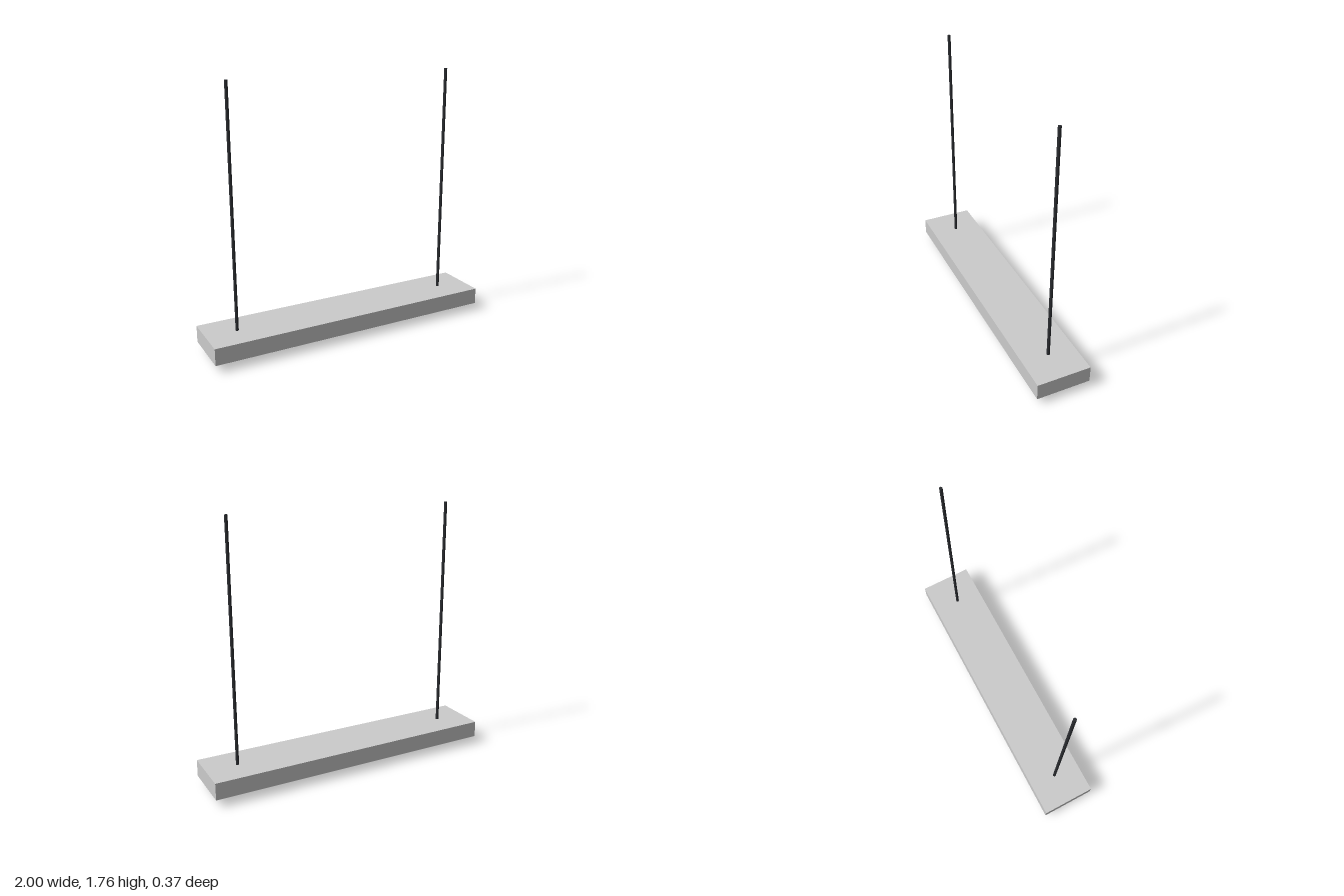
import * as THREE from 'three';

export function createModel() {
  const group = new THREE.Group();
  const grey = new THREE.MeshStandardMaterial({ color: 0xcccccc });
  const dark = new THREE.MeshStandardMaterial({ color: 0x2b2d31 });

  const add = (name, geometry, material, x, y, z) => {
    const mesh = new THREE.Mesh(geometry, material);
    mesh.name = name;
    mesh.position.set(x, y, z);
    group.add(mesh);
    return mesh;
  };

  // Long rectangular lamp housing
  add('housing', new THREE.BoxGeometry(2, 0.114, 0.37), grey, 0, 0.108, 0);

  // Mirrored pairs: fluorescent tubes below, hanging rods above
  const tubeGeometry = new THREE.CylinderGeometry(0.026, 0.026, 1.89, 24).rotateZ(Math.PI / 2);
  const rodGeometry = new THREE.CylinderGeometry(0.0105, 0.0105, 1.6, 12);
  for (const side of [-1, 1]) {
    add(side > 0 ? 'frontTube' : 'backTube', tubeGeometry, grey, 0, 0.026, side * 0.087);
    add(side > 0 ? 'leftRod' : 'rightRod', rodGeometry, dark, side * 0.787, 0.965, 0);
  }
  return group;
}
